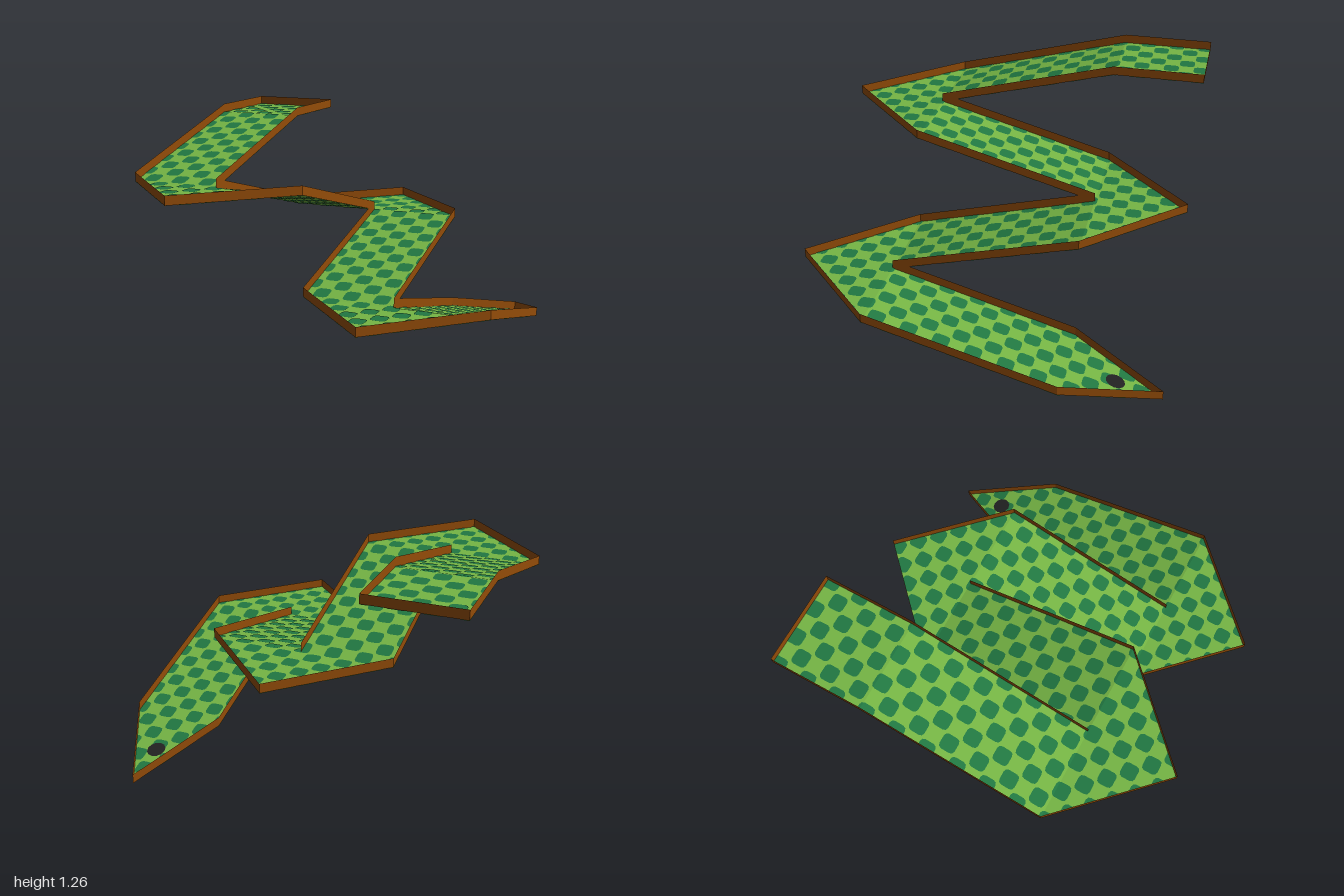
import * as THREE from 'three';

const SLOPE = Math.tan(Math.PI / 12); // every ramp falls at 15 degrees
const WALL = 0.05;
const CELL = 1 / 12;

// Non-indexed geometry from convex polygons, each fanned into triangles
function fromPolygons(polygons) {
  const pos = [];
  for (const p of polygons) {
    for (let i = 1; i < p.length - 1; i++) pos.push(...p[0], ...p[i], ...p[i + 1]);
  }
  const g = new THREE.BufferGeometry();
  g.setAttribute('position', new THREE.Float32BufferAttribute(pos, 3));
  g.computeVertexNormals();
  return g;
}

// Clip a plan polygon against a convex region (same winding)
function clip(polygon, region) {
  let out = polygon;
  region.forEach((a, k) => {
    const b = region[(k + 1) % region.length];
    const side = (p) => (b[0] - a[0]) * (p[1] - a[1]) - (b[1] - a[1]) * (p[0] - a[0]);
    const src = out;
    out = [];
    src.forEach((p, i) => {
      const q = src[(i + 1) % src.length];
      const sp = side(p), sq = side(q);
      if (sp <= 0) out.push(p);
      if ((sp < 0 && sq > 0) || (sp > 0 && sq < 0)) {
        const t = sp / (sp - sq);
        out.push([p[0] + (q[0] - p[0]) * t, p[1] + (q[1] - p[1]) * t]);
      }
    });
  });
  return out;
}

// Plan outlines run counter-clockwise seen from above
function roundedSquare(cx, cz) {
  const h = CELL / 2, r = 0.02, pts = [];
  for (let c = 0; c < 4; c++) {
    const mid = (c + 0.5) * Math.PI / 2;
    const ox = Math.sign(Math.cos(mid)) * (h - r), oz = Math.sign(Math.sin(mid)) * (h - r);
    for (let s = 0; s <= 2; s++) {
      const a = (c + s / 2) * Math.PI / 2;
      pts.push([cx + ox + r * Math.cos(a), cz - oz - r * Math.sin(a)]);
    }
  }
  return pts;
}

export function createModel() {
  const mat = (name, color) => {
    const m = new THREE.MeshStandardMaterial({ color, side: THREE.DoubleSide });
    m.name = name;
    return m;
  };
  const lightGreen = mat('lightGreen', 0x75b544);
  const darkGreen = mat('darkGreen', 0x217842);
  const brown = mat('brown', 0x934c08);
  const black = mat('black', 0x222222);

  const group = new THREE.Group();
  group.name = 'zigzagCourse';
  const add = (name, polygons, material, parent = group) => {
    const m = new THREE.Mesh(fromPolygons(polygons), material);
    m.name = name;
    parent.add(m);
  };

  // Floor levels, from the top landing down to the tip
  const L = [4.5, 3.5, 2.5, 1.5, 0.5, 0].map((k) => k * SLOPE);
  const flat = (y) => () => y;
  const down = (y) => (z) => y - (z + 0.5) * SLOPE; // falls towards +z
  const back = (y) => (z) => y + (z - 0.5) * SLOPE; // falls towards -z
  const rect = (x0, x1, z0, z1) => [[x0, z1], [x1, z1], [x1, z0], [x0, z0]];
  const sections = [
    ['startLanding', rect(-1, -0.5, -1, -0.5), flat(L[0])],
    ['firstRamp', rect(-1, -0.5, -0.5, 0.5), down(L[0])],
    ['firstTurn', [[-1, 0.5], [-0.5, 1], [0, 0.5]], flat(L[1])],
    ['secondRamp', rect(-0.5, 0, -0.5, 0.5), back(L[1])],
    ['secondTurn', [[-0.5, -0.5], [0.5, -0.5], [0, -1]], flat(L[2])],
    ['thirdRamp', rect(0, 0.5, -0.5, 0.5), down(L[2])],
    ['thirdTurn', [[0, 0.5], [0.5, 1], [1, 0.5]], flat(L[3])],
    ['lastRamp', rect(0.5, 1, -0.5, 0.5), back(L[3])],
    ['endTip', [[0.5, -0.5], [1, -0.5], [0.75, -1]], back(L[3])],
  ];
  const lift = (plan, height, dy = 0) => plan.map(([x, z]) => [x, height(z) + dy, z]);
  const bothSides = (plan, height, d) => [lift(plan, height, d), lift(plan, height, -d)];

  // Chequered floor: light base with dark rounded squares on both faces
  for (const [name, plan, height] of sections) {
    const part = new THREE.Group();
    part.name = name;
    add(name + 'Floor', [lift(plan, height)], lightGreen, part);
    const squares = [];
    for (let j = 0; j <= 25; j++) {
      for (let i = j % 2; i <= 24; i += 2) {
        const cut = clip(roundedSquare(-1 + i * CELL, -0.972 + j * CELL), plan);
        if (cut.length > 2) squares.push(...bothSides(cut, height, 0.002));
      }
    }
    add(name + 'Squares', squares, darkGreen, part);
    group.add(part);
  }

  // Thin side boards standing on the whole outline
  const outline = [
    [-1, L[0], -1], [-1, L[0], -0.5], [-1, L[1], 0.5], [-0.5, L[1], 1], [0, L[1], 0.5],
    [0, L[2], -0.5], [0, L[3], 0.5], [0.5, L[3], 1], [1, L[3], 0.5], [1, L[4], -0.5],
    [0.75, L[5], -1], [0.5, L[4], -0.5], [0.5, L[3], 0.5], [0.5, L[2], -0.5], [0, L[2], -1],
    [-0.5, L[2], -0.5], [-0.5, L[1], 0.5], [-0.5, L[0], -0.5], [-0.5, L[0], -1],
  ];
  const up = ([x, y, z]) => [x, y + WALL, z];
  add('sideBoards', outline.map((a, i) => {
    const b = outline[(i + 1) % outline.length];
    return [a, b, up(b), up(a)];
  }), brown);

  // Hole near the tip
  const disc = Array.from({ length: 12 }, (_, i) => {
    const a = (i / 12) * Math.PI * 2;
    return [0.75 + 0.05 * Math.cos(a), -0.755 - 0.05 * Math.sin(a)];
  });
  add('hole', bothSides(disc, back(L[3]), 0.004), black);

  return group;
}
